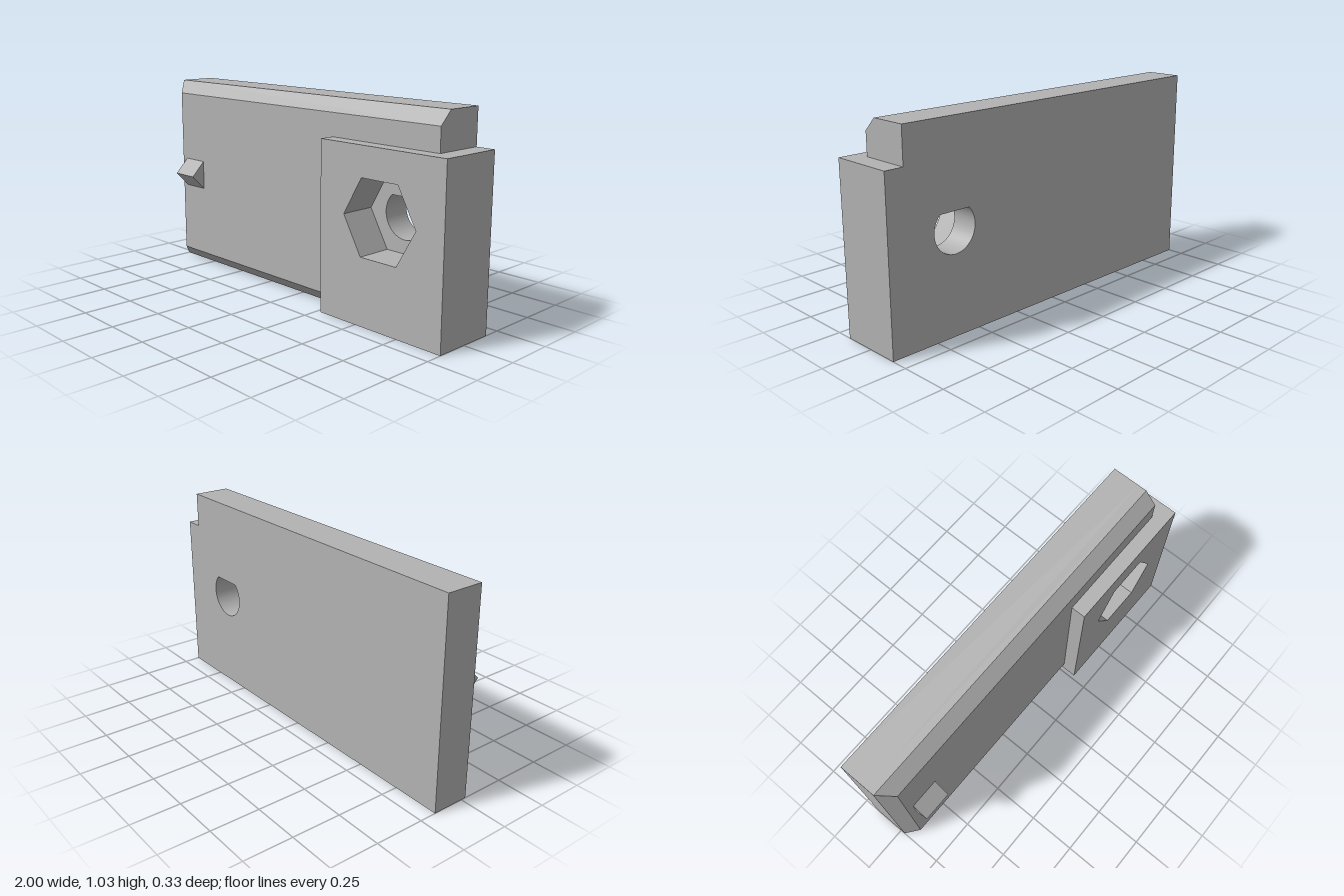
import * as THREE from 'three';
import { toCreasedNormals } from 'three/addons/utils/BufferGeometryUtils.js';

// Main levels along z, from back to front
const BACK = -0.165, SEAT = -0.02, BEVEL = 0.025, FACE = 0.09, FRONT = 0.165;
const TOP = 1.03, STEP = 0.85, CHAMFER = 0.065;
const HOLE = { x: 0.635, y: 0.518 };

const grey = new THREE.MeshStandardMaterial({ color: 0xb2b2b2 });
grey.name = 'grey plastic';

const polygon = (points) => new THREE.Shape(points.map(([x, y]) => new THREE.Vector2(x, y)));

// Extrudes an outline, with an optional hole, between two z levels
function slab(points, z0, z1, hole) {
  const shape = polygon(points);
  if (hole) shape.holes.push(hole);
  const geometry = new THREE.ExtrudeGeometry(shape, { depth: z1 - z0, bevelEnabled: false, curveSegments: 48 });
  return geometry.translate(0, 0, z0);
}

function teardropHole() {
  const r = 0.118, path = new THREE.Path();
  path.moveTo(HOLE.x, HOLE.y + r * Math.SQRT2);
  path.absarc(HOLE.x, HOLE.y, r, Math.PI / 4, Math.PI * 3 / 4, true);
  path.closePath();
  return path;
}

function hexHole() {
  const r = 0.213;
  return new THREE.Path(Array.from({ length: 6 }, (_, i) => {
    const a = i * Math.PI / 3;
    return new THREE.Vector2(HOLE.x + r * Math.cos(a), HOLE.y + r * Math.sin(a));
  }));
}

export function createModel() {
  const model = new THREE.Group();
  model.name = 'clampPlate';
  const add = (name, geometry) => {
    const mesh = new THREE.Mesh(geometry, grey);
    mesh.name = name;
    model.add(mesh);
  };

  // Full outline with the step at the upper corner
  const outline = [[-1, 0], [1, 0], [1, STEP], [0.905, STEP], [0.905, TOP], [-1, TOP]];
  add('backPlate', toCreasedNormals(slab(outline, BACK, SEAT, teardropHole()), 0.5));
  add('middlePlate', slab(outline, SEAT, BEVEL, hexHole()));

  // Front of the plate: chamfered at the top, bottom and outer end
  const face = slab([[-1, 0], [0.27, 0], [0.27, STEP], [0.905, STEP], [0.905, TOP], [-1, TOP]], BEVEL, FACE);
  const p = face.attributes.position;
  for (let i = 0; i < p.count; i++) {
    if (p.getZ(i) < FACE - 0.001) continue;
    p.setX(i, Math.max(p.getX(i), -1 + CHAMFER));
    p.setY(i, THREE.MathUtils.clamp(p.getY(i), CHAMFER, TOP - CHAMFER));
  }
  face.computeVertexNormals();
  add('chamferedFace', face);

  // Raised block around the hexagonal nut pocket
  add('nutBlock', slab([[0.27, 0], [1, 0], [1, STEP], [0.27, STEP]], BEVEL, FRONT, hexHole()));

  // Small wedge ridge: a triangle in z and y, extruded along x
  const ridge = slab([[-FACE, 0.441], [-FACE, 0.595], [-FRONT, 0.518]], 0, 0.153);
  ridge.rotateY(Math.PI / 2).translate(-0.9, 0, 0);
  add('wedgeRidge', ridge);

  return model;
}
